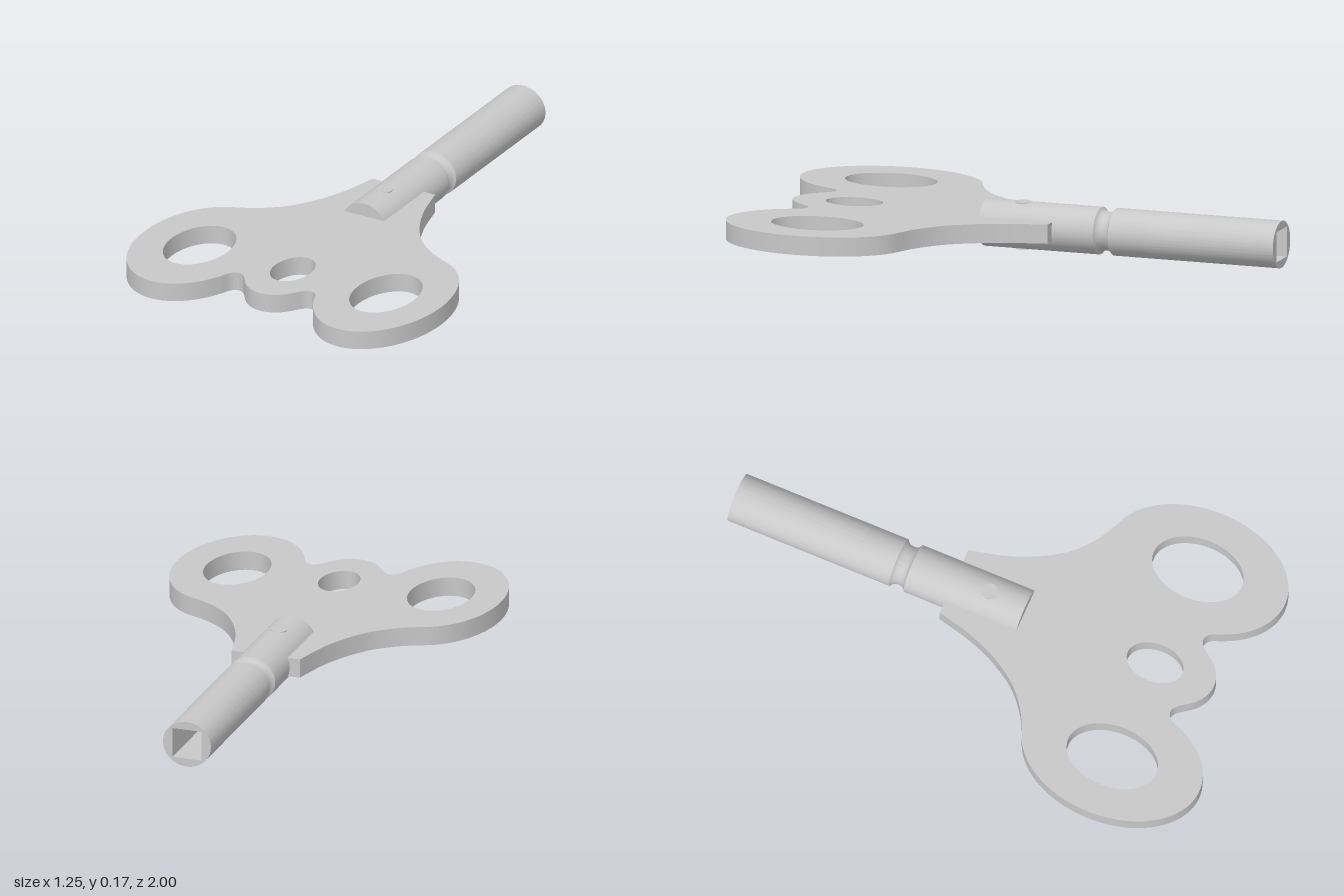
import * as THREE from 'three';
import { toCreasedNormals } from 'three/addons/utils/BufferGeometryUtils.js';

const AXIS_Y = 0.087;    // height of the shaft axis
const RX = 0.0925, RY = 0.087;
const CREASE = 0.6;

const v = (x, y) => new THREE.Vector2(x, y);

// Points along an ellipse arc, angles in degrees
function arc(cx, cy, rx, ry, from, to, n) {
  return Array.from({ length: n + 1 }, (_, i) => {
    const a = THREE.MathUtils.degToRad(from + (to - from) * i / n);
    return v(cx + rx * Math.cos(a), cy + ry * Math.sin(a));
  });
}

const spline = (pts, n) => new THREE.SplineCurve(pts.map(p => v(...p))).getPoints(n);

// Holes run against the clockwise outline so their walls face inward
const hole = (cx, cy, rx, ry) => new THREE.Path().absellipse(cx, cy, rx, ry, 0, Math.PI * 2, false);

function createHandle() {
  // Half outline in x and z, from the front middle round to the neck
  const half = [
    ...arc(0, 0.655, 0.15, 0.233, 90, 43, 8),
    ...spline([[0.11, 0.814], [0.13, 0.79], [0.155, 0.781], [0.18, 0.798], [0.198, 0.843]], 14).slice(1, -1),
    ...arc(0.394, 0.655, 0.232, 0.345, 147, -72, 48),
    ...spline([[0.466, 0.327], [0.4, 0.298], [0.335, 0.257], [0.27, 0.195], [0.21, 0.1], [0.165, -0.01], [0.132, -0.142]], 30).slice(1),
    v(0.09, -0.142),
  ];
  const mirrored = half.slice(1).reverse().map(p => v(-p.x, p.y));
  const shape = new THREE.Shape([...half, ...mirrored]);
  shape.holes.push(hole(0, 0.655, 0.073, 0.108));
  for (const s of [-1, 1]) shape.holes.push(hole(s * 0.394, 0.655, 0.117, 0.174));

  const g = new THREE.ExtrudeGeometry(shape, { depth: 0.071, bevelEnabled: false, curveSegments: 24 });
  g.rotateX(Math.PI / 2).translate(0, 0.124, 0);
  return toCreasedNormals(g, CREASE);
}

function createShaft() {
  // Solid front part with the rounded groove
  const profile = [
    v(0, -0.5), v(1, -0.5), v(1, -0.36),
    v(0.94, -0.357), v(0.86, -0.349), v(0.82, -0.34), v(0.81, -0.331),
    v(0.82, -0.322), v(0.86, -0.312), v(0.94, -0.305),
    v(1, -0.302), v(1, 0.142), v(0, 0.142),
  ];
  const g = new THREE.LatheGeometry(profile, 48);
  g.rotateX(Math.PI / 2).scale(RX, RY, 1).translate(0, AXIS_Y, 0);
  return toCreasedNormals(g, CREASE);
}

function createSocket() {
  // Hollow rear part with a square hole
  const shape = new THREE.Shape();
  shape.absellipse(0, 0, RX, RY, 0, Math.PI * 2, false);
  const h = 0.056;
  shape.holes.push(new THREE.Path([v(-h, -h), v(-h, h), v(h, h), v(h, -h)]));
  const g = new THREE.ExtrudeGeometry(shape, { depth: 0.5, bevelEnabled: false, curveSegments: 48 });
  g.translate(0, AXIS_Y, -1);
  return toCreasedNormals(g, CREASE);
}

export function createModel() {
  const steel = new THREE.MeshStandardMaterial({ color: 0xc8c8c8 });
  steel.name = 'steel grey';
  const model = new THREE.Group();
  model.name = 'windingKey';

  const add = (name, geometry) => {
    const mesh = new THREE.Mesh(geometry, steel);
    mesh.name = name;
    model.add(mesh);
  };
  add('handle', createHandle());
  add('shaft', createShaft());
  add('socket', createSocket());

  // Rivet through shaft and handle, its ends flush with the shaft
  add('rivet', new THREE.CylinderGeometry(0.03, 0.03, 0.174, 24).translate(0, AXIS_Y, 0));
  return model;
}
